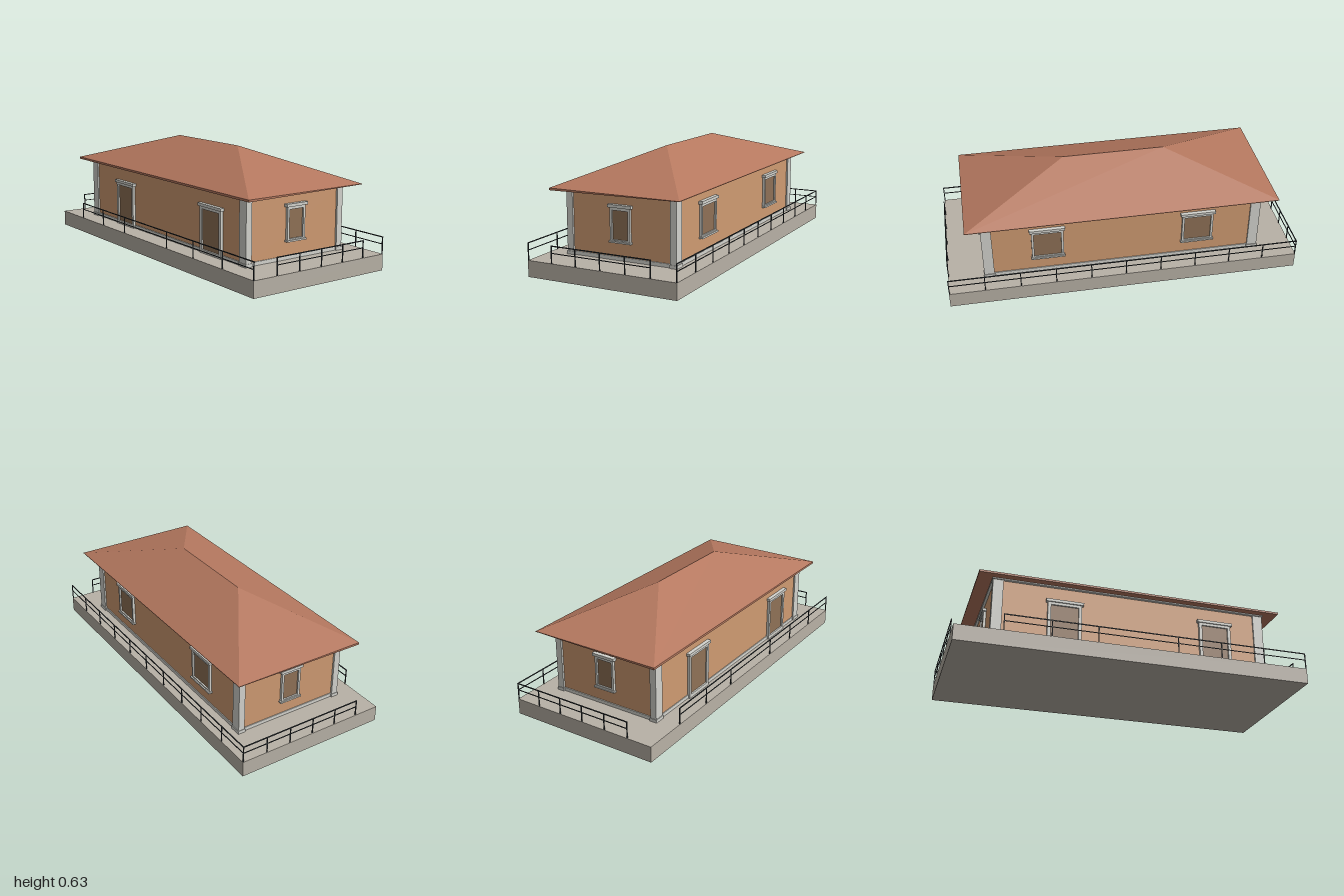
import * as THREE from 'three';

const paint = (color, extra = {}) => new THREE.MeshStandardMaterial({ color, ...extra });
const mats = {
  stone: paint(0xb8b1a6), wall: paint(0xcf9b72), trim: paint(0xd4d4ce),
  panel: paint(0x8f7156), rail: paint(0x363c40),
  roof: paint(0xb5785f, { flatShading: true, side: THREE.DoubleSide }),
};

// Box given by its lower and upper limits on each axis
function box(parent, name, mat, [x0, x1], [y0, y1], [z0, z1]) {
  const mesh = new THREE.Mesh(new THREE.BoxGeometry(x1 - x0, y1 - y0, z1 - z0), mat);
  mesh.position.set((x0 + x1) / 2, (y0 + y1) / 2, (z0 + z1) / 2);
  mesh.name = name;
  parent.add(mesh);
  return mesh;
}

// Framed door or window facing local +z, with the wall plane at z = 0
function opening(name, { w, y0, y1, border, panelY0, sill }) {
  const g = new THREE.Group();
  g.name = name;
  const h = w / 2, p = h - border, top = y1 - 0.015;
  box(g, 'panel', mats.panel, [-p, p], [panelY0, top], [-0.01, 0.006]);
  for (const s of [-1, 1]) {
    const xs = s < 0 ? [-h, -p] : [p, h];
    box(g, 'jamb', mats.trim, xs, [y0, y1], [-0.01, 0.015]);
  }
  box(g, 'head', mats.trim, [-p, p], [top, y1], [-0.01, 0.015]);
  box(g, 'lintel', mats.trim, [-h - 0.01, h + 0.01], [y1, y1 + 0.016], [-0.01, 0.022]);
  box(g, 'threshold', mats.trim, [-p, p], [y0, panelY0], [-0.01, 0.015]);
  if (sill) box(g, 'sill', mats.trim, [-h - 0.006, h + 0.006], [y0 - 0.009, y0], [-0.01, 0.022]);
  return g;
}

// Railing along x with posts at the given positions
function railing(name, posts) {
  const g = new THREE.Group();
  g.name = name;
  const t = 0.0025, a = posts[0], b = posts[posts.length - 1];
  for (const x of posts) box(g, 'post', mats.rail, [x - t, x + t], [0.09, 0.185], [-t, t]);
  box(g, 'topRail', mats.rail, [a - t, b + t], [0.181, 0.186], [-t, t]);
  box(g, 'midRail', mats.rail, [a, b], [0.143, 0.147], [-t * 0.8, t * 0.8]);
  return g;
}

// Hipped roof: four slopes, thin fascia and a slightly tilted underside
function hipRoof() {
  const X = 0.88, F = 0.38, B = -0.39;
  const corners = [
    [-X, 0.447, F], [X, 0.447, F], [X, 0.457, B], [-X, 0.457, B],
    [-X, 0.459, F], [X, 0.459, F], [X, 0.46, B], [-X, 0.46, B],
    [-0.29, 0.632, 0], [0.29, 0.632, 0],
  ];
  const faces = [
    4, 5, 9, 4, 9, 8, 6, 7, 8, 6, 8, 9, 5, 6, 9, 7, 4, 8,
    0, 3, 2, 0, 2, 1,
    0, 1, 5, 0, 5, 4, 1, 2, 6, 1, 6, 5, 2, 3, 7, 2, 7, 6, 3, 0, 4, 3, 4, 7,
  ];
  const indexed = new THREE.BufferGeometry();
  indexed.setAttribute('position', new THREE.Float32BufferAttribute(corners.flat(), 3));
  indexed.setIndex(faces);
  const geo = indexed.toNonIndexed();
  geo.computeVertexNormals();
  const mesh = new THREE.Mesh(geo, mats.roof);
  mesh.name = 'roof';
  return mesh;
}

export function createModel() {
  const house = new THREE.Group();
  house.name = 'house';
  const add = (obj, x, z, turn = 0) => {
    obj.position.set(x, 0, z);
    obj.rotation.y = turn;
    house.add(obj);
  };

  // Platform and walls
  box(house, 'platform', mats.stone, [-1, 1], [0, 0.09], [-0.44, 0.44]);
  box(house, 'walls', mats.wall, [-0.785, 0.785], [0.09, 0.446], [-0.32, 0.32]);
  box(house, 'plinth', mats.trim, [-0.79, 0.79], [0.09, 0.11], [-0.325, 0.325]);
  box(house, 'cornice', mats.trim, [-0.8, 0.8], [0.441, 0.456], [-0.337, 0.337]);

  // Corner pilasters with small bases
  for (const sx of [-1, 1]) for (const sz of [-1, 1]) {
    const span = (s, a, b) => (s > 0 ? [a, b] : [-b, -a]);
    box(house, 'pilaster', mats.trim, span(sx, 0.738, 0.796), [0.09, 0.443], span(sz, 0.292, 0.329));
    box(house, 'pilasterBase', mats.trim, span(sx, 0.735, 0.799), [0.09, 0.108], span(sz, 0.289, 0.333));
  }

  // Roof
  house.add(hipRoof());

  // Front doors
  for (const x of [-0.393, 0.492])
    add(opening('frontDoor', { w: 0.192, y0: 0.09, y1: 0.347, border: 0.018, panelY0: 0.11 }), x, 0.32);

  // Back and side windows
  const win = { y0: 0.195, y1: 0.373, border: 0.013, panelY0: 0.202, sill: true };
  for (const x of [-0.43, 0.43]) add(opening('backWindow', { ...win, w: 0.18 }), x, -0.32, Math.PI);
  for (const s of [-1, 1]) add(opening('sideWindow', { ...win, w: 0.12 }), s * 0.785, 0, s * Math.PI / 2);

  // Railings around the platform, with gaps at the entrances
  const spaced = (a, b, n) => Array.from({ length: n + 1 }, (_, i) => a + (b - a) * i / n);
  add(railing('frontRailing', [-0.74, -0.483, -0.227, 0.227, 0.483, 0.74, 0.997]), 0, 0.437);
  add(railing('backRailing', spaced(-0.997, 0.997, 10)), 0, -0.437);
  add(railing('leftRailing', spaced(-0.292, 0.292, 4)), 0.997, 0, Math.PI / 2);
  add(railing('rightRailing', spaced(-0.292, 0.437, 5)), -0.997, 0, Math.PI / 2);
  return house;
}
